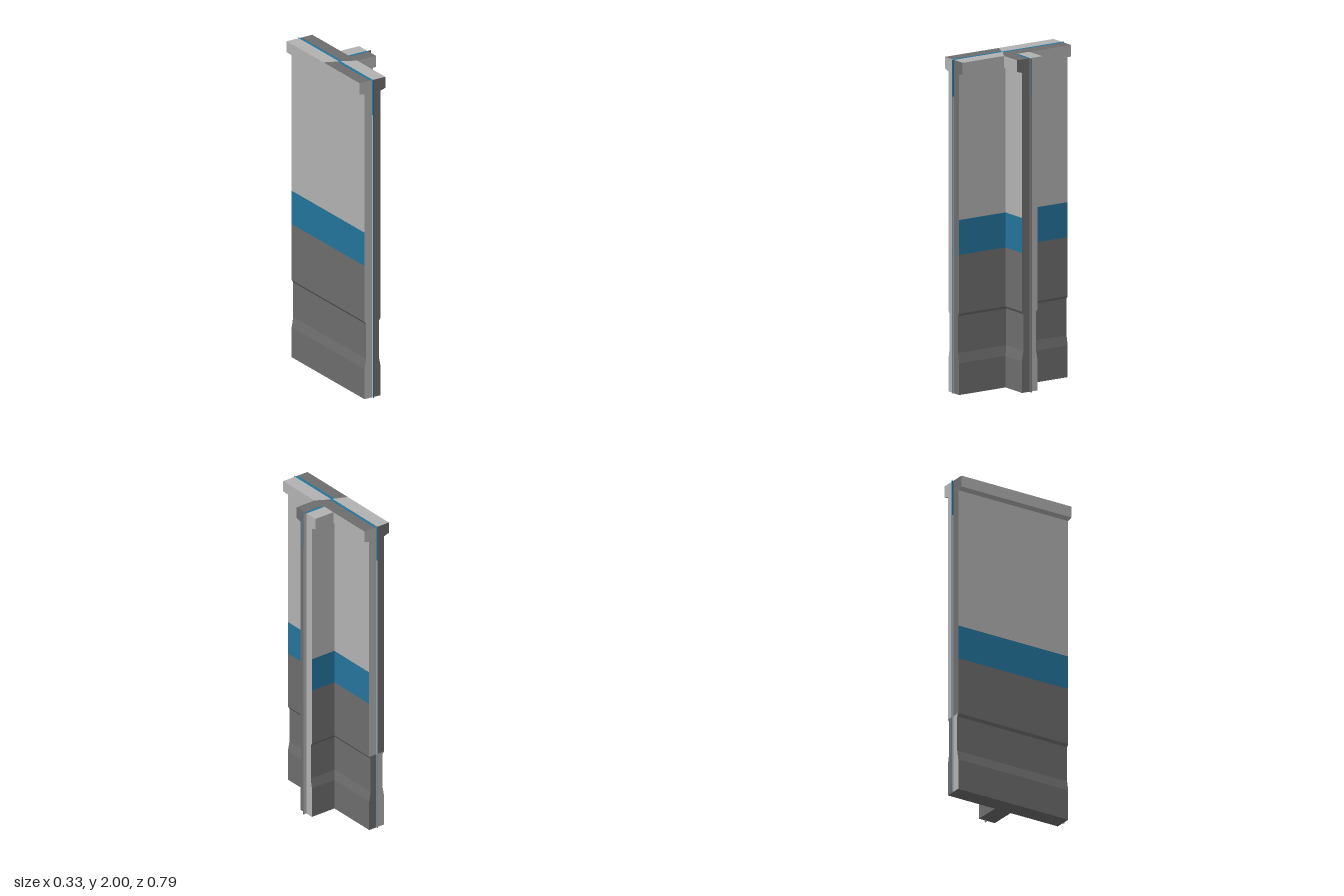
import * as THREE from 'three';

const C = -0.078;   // centre line of the main wall
const L = 0.385;    // half length of the main wall
const B = 0.143;    // end of the branch wall

const mat = (name, color) => {
  const m = new THREE.MeshStandardMaterial({ color });
  m.name = name;
  return m;
};

// Wall profile: [height, half thickness]
const PROFILE = [
  [0, 0.055], [0.19, 0.055], [0.25, 0.044], [0.47, 0.044], [0.487, 0.055],
  [0.84, 0.055], [1.05, 0.055], [1.92, 0.055], [1.93, 0.0895], [2, 0.0895],
];

// T-shaped outline for a half thickness, as [x, z]
const outline = (h) => [
  [C - h, -L], [C - h, L], [C, L], [C + h, L], [C + h, h], [B, h],
  [B, 0], [B, -h], [C + h, -h], [C + h, -L], [C, -L],
];

// Colour index (0 light, 1 dark, 2 blue) of one side strip
function stripColour(side, y) {
  if (side === 1 || side === 6) return 0;
  if (side === 2 || side === 5) return 1;
  if (side === 9) return y > 0.48 ? 0 : 1;
  if (side === 10) return y > 0.48 ? 1 : 0;
  return y < 0.84 ? 1 : y < 1.05 ? 2 : 0;
}

function wallGeometry() {
  const buckets = [[], [], []];
  for (let i = 0; i < PROFILE.length - 1; i++) {
    const [y0, h0] = PROFILE[i], [y1, h1] = PROFILE[i + 1];
    const lo = outline(h0), hi = outline(h1);
    lo.forEach((p, s) => {
      const n = (s + 1) % lo.length;
      const a = [p[0], y0, p[1]], b = [lo[n][0], y0, lo[n][1]];
      const c = [hi[n][0], y1, hi[n][1]], d = [hi[s][0], y1, hi[s][1]];
      buckets[stripColour(s, (y0 + y1) / 2)].push(...a, ...b, ...c, ...a, ...c, ...d);
    });
  }
  const g = new THREE.BufferGeometry();
  g.setAttribute('position', new THREE.Float32BufferAttribute(buckets.flat(), 3));
  let start = 0;
  buckets.forEach((b, i) => {
    g.addGroup(start, b.length / 3, i);
    start += b.length / 3;
  });
  g.computeVertexNormals();
  return g;
}

// Flat horizontal panel from [x, z] corners, facing up or down
function panel(points, y, up = true) {
  const s = new THREE.Shape(points.map(([x, z]) => new THREE.Vector2(x, up ? -z : z)));
  const g = new THREE.ShapeGeometry(s);
  g.rotateX(up ? -Math.PI / 2 : Math.PI / 2);
  g.translate(0, y, 0);
  return g;
}

export function createModel() {
  const group = new THREE.Group();
  const light = mat('light grey', 0xb2b2b2);
  const dark = mat('dark grey', 0x6d6d6d);
  const blue = mat('blue', 0x24749b);
  const add = (name, geo, material) => {
    const m = new THREE.Mesh(geo, material);
    m.name = name;
    group.add(m);
    return m;
  };

  // Upright faces of the wall and its cap
  add('wallSides', wallGeometry(), [light, dark, blue]);
  add('wallBottom', panel(outline(PROFILE[0][1]), 0, false), dark);

  // Coloured panels on top of the cap
  const l = C - 0.0895, r = C + 0.0895, w = 0.0895;
  const top = [
    [light, [[l, -L], [-0.083, -L], [-0.083, 0.04], [-0.095, 0.035], [l, 0.003]]],
    [dark, [[l, 0.003], [-0.095, 0.035], [-0.095, L], [l, L]]],
    [blue, [[-0.083, -L], [-0.065, -L], [-0.065, 0.045], [-0.075, 0.042], [-0.083, 0.04]]],
    [blue, [[-0.095, 0.035], [-0.083, 0.04], [-0.075, 0.042], [-0.075, L], [-0.095, L]]],
    [dark, [[-0.065, -L], [r, -L], [r, -0.005], [0.02, -0.005], [0.02, 0.012],
      [B, 0.012], [B, w], [r, w], [-0.065, 0.045]]],
    [light, [[-0.075, 0.042], [-0.065, 0.045], [r, w], [r, L], [-0.075, L]]],
    [light, [[r, -w], [B, -w], [B, -0.005], [r, -0.005]]],
    [blue, [[0.02, -0.005], [B, -0.005], [B, 0.012], [0.02, 0.012]]],
  ];
  top.forEach(([m, pts]) => add('capTop', panel(pts, 2), m));

  // Thin joint fins along the wall ends, blue near the top
  const split = 1.78, t = 0.005;
  for (const s of [1, -1]) {
    const lower = new THREE.BoxGeometry(t, split, 0.01);
    add('endFin', lower, [light, light, light, dark, blue, blue])
      .position.set(C, split / 2, s * (L + 0.005));
    add('endFinTop', new THREE.BoxGeometry(t, 2 - split, 0.01), blue)
      .position.set(C, (2 + split) / 2, s * (L + 0.005));
  }

  // Fin on the branch end
  add('branchFin', new THREE.BoxGeometry(0.022, split, t), [dark, dark, dark, dark, dark, light])
    .position.set(B + 0.011, split / 2, 0);
  add('branchFinTop', new THREE.BoxGeometry(0.022, 2 - split, t), [blue, dark, dark, dark, dark, light])
    .position.set(B + 0.011, (2 + split) / 2, 0);

  return group;
}
